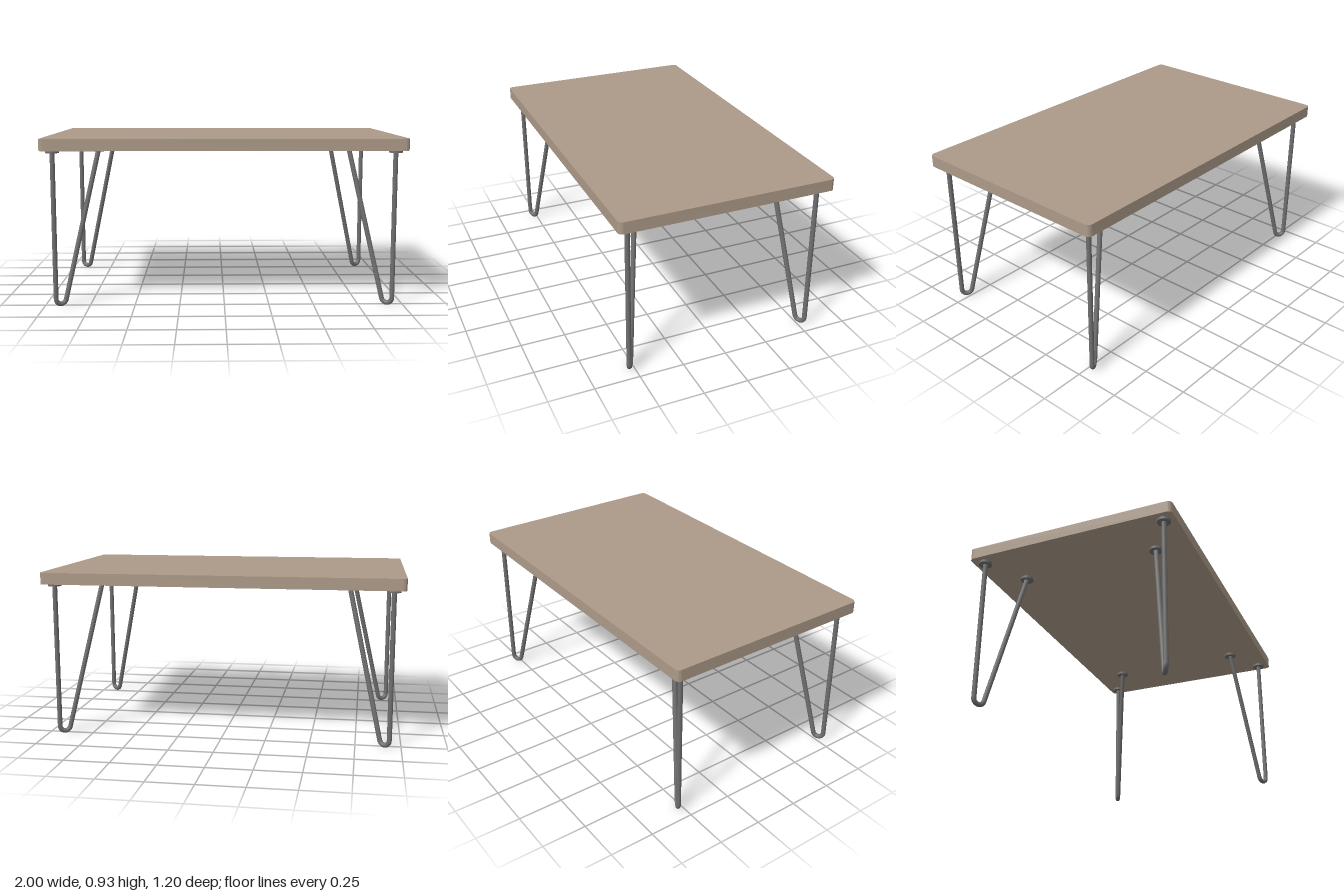
import * as THREE from 'three';
import { toCreasedNormals } from 'three/addons/utils/BufferGeometryUtils.js';

const TOP_Y = 0.935, UNDER_Y = 0.87;

// Board with rounded vertical corners
function tabletopGeometry(w, d, r) {
  const x = w / 2, y = d / 2, s = new THREE.Shape();
  s.absarc(x - r, y - r, r, 0, Math.PI / 2);
  s.absarc(-x + r, y - r, r, Math.PI / 2, Math.PI);
  s.absarc(-x + r, -y + r, r, Math.PI, Math.PI * 1.5);
  s.absarc(x - r, -y + r, r, Math.PI * 1.5, Math.PI * 2);
  s.closePath();
  const g = new THREE.ExtrudeGeometry(s, { depth: TOP_Y - UNDER_Y, bevelEnabled: false, curveSegments: 8 });
  g.rotateX(-Math.PI / 2).translate(0, UNDER_Y, 0);
  return toCreasedNormals(g, 0.6);
}

// Hairpin centre line: upright rod, round bend, slanted rod tangent to the bend
function hairpinPath(outer, inner, rod, bend) {
  const span = outer.distanceTo(inner), cy = rod + bend, topY = UNDER_Y - 0.004;
  const at = (u, y) => {
    const p = outer.clone().lerp(inner, u / span);
    return new THREE.Vector3(p.x, y, p.y);
  };
  const dx = span - bend, dy = topY - cy;
  const end = Math.atan2(dy, dx) - Math.acos(bend / Math.hypot(dx, dy));
  const start = -Math.PI, steps = 14, arc = [];
  for (let i = 0; i <= steps; i++) {
    const a = start + (end - start) * i / steps;
    arc.push(at(bend + bend * Math.cos(a), cy + bend * Math.sin(a)));
  }
  const path = new THREE.CurvePath();
  path.add(new THREE.LineCurve3(at(0, topY), arc[0]));
  path.add(new THREE.CatmullRomCurve3(arc));
  path.add(new THREE.LineCurve3(arc[steps], at(span, topY)));
  return path;
}

export function createModel() {
  const wood = new THREE.MeshStandardMaterial({ color: 0xac9a88 });
  wood.name = 'wood';
  const steel = new THREE.MeshStandardMaterial({ color: 0x707070 });
  steel.name = 'steel';

  const table = new THREE.Group();
  table.name = 'table';
  const add = (parent, name, geometry, material) => {
    const m = new THREE.Mesh(geometry, material);
    m.name = name;
    parent.add(m);
    return m;
  };

  add(table, 'tabletop', tabletopGeometry(2, 1.2, 0.025), wood);

  // Four mirrored hairpin legs, each with two mounting discs
  const disc = new THREE.CylinderGeometry(0.037, 0.037, 0.014, 24);
  for (const sx of [-1, 1]) for (const sz of [-1, 1]) {
    const leg = new THREE.Group();
    leg.name = (sz > 0 ? 'front' : 'back') + (sx > 0 ? 'Left' : 'Right') + 'Leg';
    const outer = new THREE.Vector2(0.935 * sx, 0.535 * sz);
    const inner = new THREE.Vector2(0.70 * sx, 0.40 * sz);
    const path = hairpinPath(outer, inner, 0.0135, 0.03);
    add(leg, 'hairpinRod', new THREE.TubeGeometry(path, 200, 0.0135, 12), steel);
    for (const p of [outer, inner]) {
      add(leg, 'mountingDisc', disc, steel).position.set(p.x, UNDER_Y - 0.007, p.y);
    }
    table.add(leg);
  }
  return table;
}
